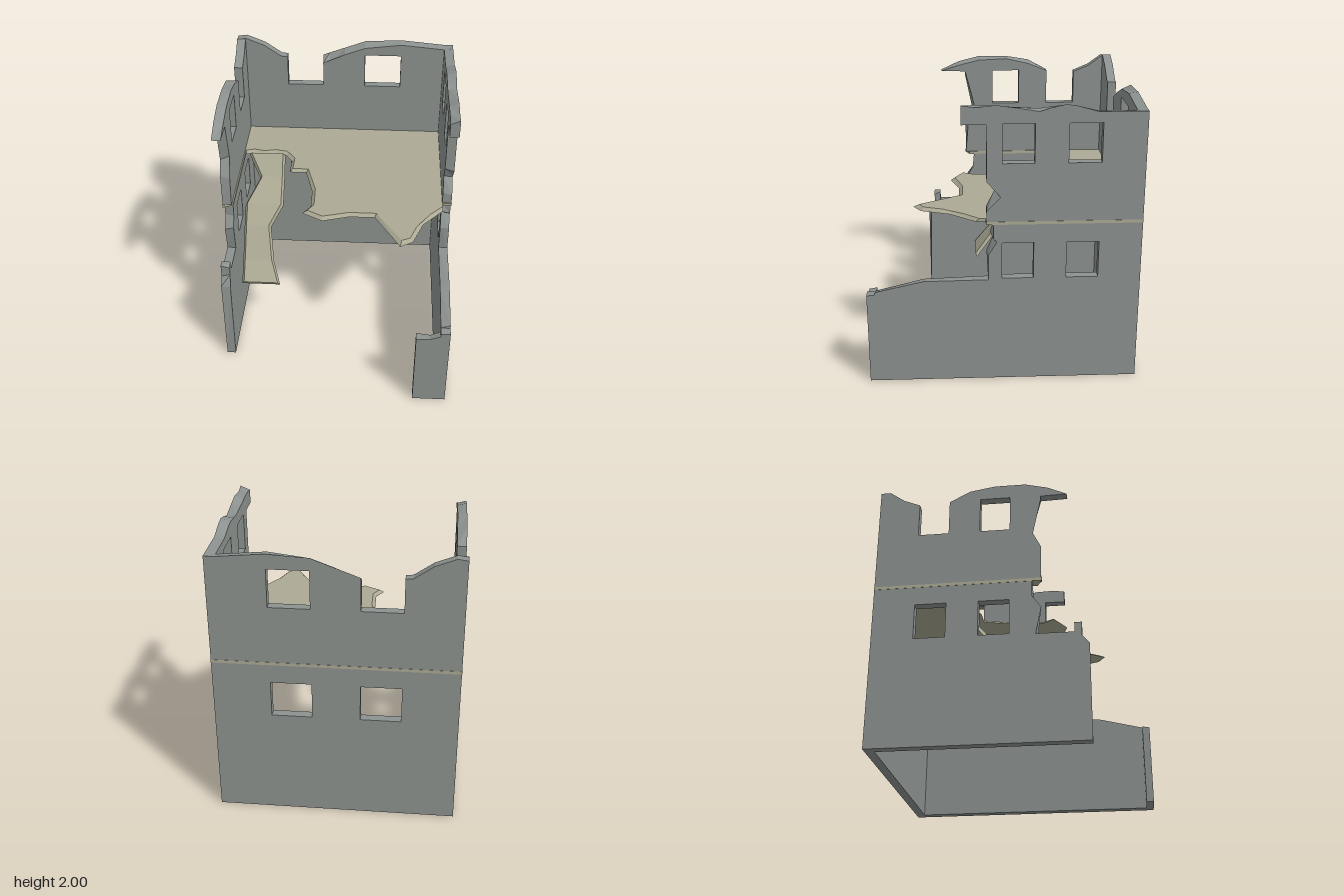
import * as THREE from 'three';

const stone = new THREE.MeshStandardMaterial({ color: 0x8c928f });
stone.name = 'grey stone';
const plaster = new THREE.MeshStandardMaterial({ color: 0xacaa94 });
plaster.name = 'beige floor';

// Flat-shaded mesh from loose triangles, turned outward by its signed volume
function solid(name, tris, material) {
  const volume = tris.reduce((s, [a, b, c]) => s + a.dot(b.clone().cross(c)), 0);
  const points = tris.flatMap(([a, b, c]) => (volume < 0 ? [a, c, b] : [a, b, c]));
  const geometry = new THREE.BufferGeometry().setFromPoints(points);
  geometry.computeVertexNormals();
  const mesh = new THREE.Mesh(geometry, material);
  mesh.name = name;
  return mesh;
}

// Plate between two outlines. A point is [u, v, du, dv]; du, dv shift its far side.
function plate(name, outline, holes, place, material) {
  const near = outline.map(([u, v]) => new THREE.Vector2(u, v));
  const far = outline.map(([u, v, du = 0, dv = 0]) => new THREE.Vector2(u + du, v + dv));
  if (THREE.ShapeUtils.isClockWise(near)) { near.reverse(); far.reverse(); }
  const cuts = holes.map(([u0, u1, v0, v1]) =>
    [[u0, v0], [u0, v1], [u1, v1], [u1, v0]].map(([u, v]) => new THREE.Vector2(u, v)));
  const A = [near, ...cuts].flat().map((p) => place(p.x, p.y, 0));
  const B = [far, ...cuts].flat().map((p) => place(p.x, p.y, 1));
  const tris = [];
  for (const [a, b, c] of THREE.ShapeUtils.triangulateShape(near, cuts)) {
    tris.push([A[a], A[b], A[c]], [B[a], B[c], B[b]]);
  }
  let start = 0;
  for (const loop of [near, ...cuts]) {
    const n = loop.length;
    for (let k = 0; k < n; k++) {
      const i = start + k, j = start + (k + 1) % n;
      tris.push([A[i], B[i], B[j]], [A[i], B[j], A[j]]);
    }
    start += n;
  }
  return solid(name, tris, material);
}

const V = (x, y, z) => new THREE.Vector3(x, y, z);
const LOW = [0.78, 1.04], HIGH = [1.605, 1.875];
const SIDE_A = [-0.65, -0.43], SIDE_B = [-0.205, 0.01];
const BACK_A = [-0.45, -0.17], BACK_B = [0.16, 0.44];

export function createModel() {
  const model = new THREE.Group();
  model.name = 'ruinedHouse';

  // Back wall, with one upper window broken open to the sky
  const back = [
    [-0.84, 0], [0.84, 0], [0.84, 1.95], [0.77, 1.95, 0, -0.01], [0.44, 1.98, 0, -0.01],
    [0.16, 1.965, 0, -0.03], [0, 1.905, 0, -0.03], [-0.12, 1.86, 0, -0.08], [-0.17, 1.84, 0, -0.04],
    [-0.17, 1.605], [-0.45, 1.605], [-0.45, 1.845], [-0.5, 1.85], [-0.63, 1.94],
    [-0.77, 1.995], [-0.84, 1.985],
  ];
  model.add(plate('backWall', back, [[...BACK_A, ...LOW], [...BACK_B, ...LOW], [...BACK_B, ...HIGH]],
    (x, y, t) => V(x, y, t ? -0.88 : -0.945), stone));

  // Left wall with ragged front edge and long low remnant
  const left = [
    [-0.88, 0], [0.945, 0], [0.945, 0.665], [0.89, 0.67], [0.885, 0.69, 0, -0.02],
    [0.55, 0.765, 0, -0.01], [0.105, 0.77], [0.105, 0.95, 0.01, 0.02], [0.045, 1.05, 0.02, 0.03],
    [0.07, 1.07, 0.02, 0.03], [0.07, 1.165], [0.115, 1.2], [0.115, 1.27, 0, 0.02],
    [0.02, 1.37, 0.04, 0.03], [0.115, 1.48, 0, 0.02], [0.115, 1.87],
    [0.28, 1.87], [0.28, 2.0, 0, -0.03], [0.19, 1.985], [0.05, 2.0, 0, -0.02],
    [-0.05, 1.985, 0, -0.02], [-0.23, 1.955, 0, 0.005], [-0.31, 1.98, 0, -0.01], [-0.4, 2.0, 0, -0.02],
    [-0.46, 1.995, 0, -0.02], [-0.62, 1.95, 0, -0.01], [-0.88, 1.95, 0, -0.01],
  ];
  model.add(plate('leftWall', left,
    [SIDE_A, SIDE_B].flatMap((s) => [[...s, ...LOW], [...s, ...HIGH]]),
    (z, y, t) => V(t ? 0.772 : 0.84, y, z), stone));

  // Right wall, shorter, with a notch, an overhanging tip and a small stub
  const right = [
    [-0.88, 0], [0.55, 0], [0.55, 0.68, -0.02, -0.02], [0.5, 0.74, 0, 0.02], [0.5, 0.84, 0, -0.02],
    [0.45, 0.84], [0.45, 0.77], [0.19, 0.77, 0.01, 0], [0.23, 0.97, -0.01, 0.01], [0.165, 1.06, 0.01, 0],
    [0.165, 1.17], [0.23, 1.2], [0.23, 1.45, -0.02, -0.03], [0.175, 1.56, -0.02, 0.02],
    [0.23, 1.83, -0.02, 0], [0.23, 1.87], [0.42, 1.875], [0.28, 1.94, 0, -0.02],
    [0.12, 1.98, 0, -0.02], [-0.1, 1.98, 0, -0.01], [-0.28, 1.95, 0, -0.02], [-0.43, 1.87],
    [-0.43, 1.605], [-0.65, 1.605], [-0.65, 1.86], [-0.77, 1.91], [-0.88, 1.99],
  ];
  model.add(plate('rightWall', right, [[...SIDE_A, ...LOW], [...SIDE_B, ...LOW], [...SIDE_B, ...HIGH]],
    (z, y, t) => V(t ? -0.775 : -0.84, y, z), stone));

  // Front corner remnant
  const corner = [[0.6, 0], [0.78, 0], [0.78, 0.64], [0.7, 0.61, 0, -0.01], [0.6, 0.605, 0, 0.01]];
  model.add(plate('frontWallRemnant', corner, [], (x, y, t) => V(x, y, t ? 0.89 : 0.945), stone));

  // Upper floor: bevelled broken edge, showing as a band outside the walls
  const floor = [
    [-0.842, -0.947], [0.842, -0.947], [0.842, 0.12], [0.775, 0.12], [0.775, 0.19, 0, -0.03],
    [0.63, 0.36, -0.025, -0.015], [0.555, 0.565, -0.02, -0.02], [0.465, 0.62, 0.01, -0.045],
    [0.28, 0.295, 0.01, -0.025], [0.095, 0.295, 0, -0.025], [-0.1, 0.355, 0, -0.03],
    [-0.25, 0.27, 0.035, -0.01], [-0.195, 0.185, 0.025, 0], [-0.2, -0.01, 0.025, 0],
    [-0.265, -0.255, 0.015, -0.02], [-0.395, -0.255, 0.025, -0.02], [-0.39, -0.41, 0.022, -0.01],
    [-0.445, -0.49, 0.015, -0.025], [-0.53, -0.51, 0, -0.025], [-0.62, -0.495, 0, -0.02],
    [-0.7, -0.51, 0, -0.025], [-0.765, -0.49, -0.002, -0.025], [-0.765, 0.2], [-0.842, 0.235],
  ];
  model.add(plate('upperFloor', floor, [], (x, z, t) => V(x, t ? 1.197 : 1.175, z), plaster));

  // Fallen floor piece: rows of [z, y, xRight, xLeft], bent downward
  const rows = [
    [-0.475, 1.19, -0.735, -0.45], [-0.365, 1.04, -0.645, -0.45], [-0.21, 0.89, -0.75, -0.45],
    [-0.1, 0.755, -0.752, -0.54], [0.05, 0.53, -0.755, -0.51], [0.165, 0.39, -0.757, -0.455],
  ].map(([z, y, a, b]) => [
    V(a + 0.018, y + 0.01, z), V(b - 0.018, y + 0.01, z), V(b, y - 0.016, z - 0.012), V(a, y - 0.016, z - 0.012),
  ]);
  const tris = [];
  for (let r = 0; r + 1 < rows.length; r++) {
    for (let k = 0; k < 4; k++) {
      const m = (k + 1) % 4, p = rows[r], q = rows[r + 1];
      tris.push([p[k], q[k], q[m]], [p[k], q[m], p[m]]);
    }
  }
  const first = rows[0], last = rows[rows.length - 1];
  tris.push([first[0], first[1], first[2]], [first[0], first[2], first[3]]);
  tris.push([last[0], last[2], last[1]], [last[0], last[3], last[2]]);
  model.add(solid('fallenFloorPiece', tris, plaster));

  return model;
}
